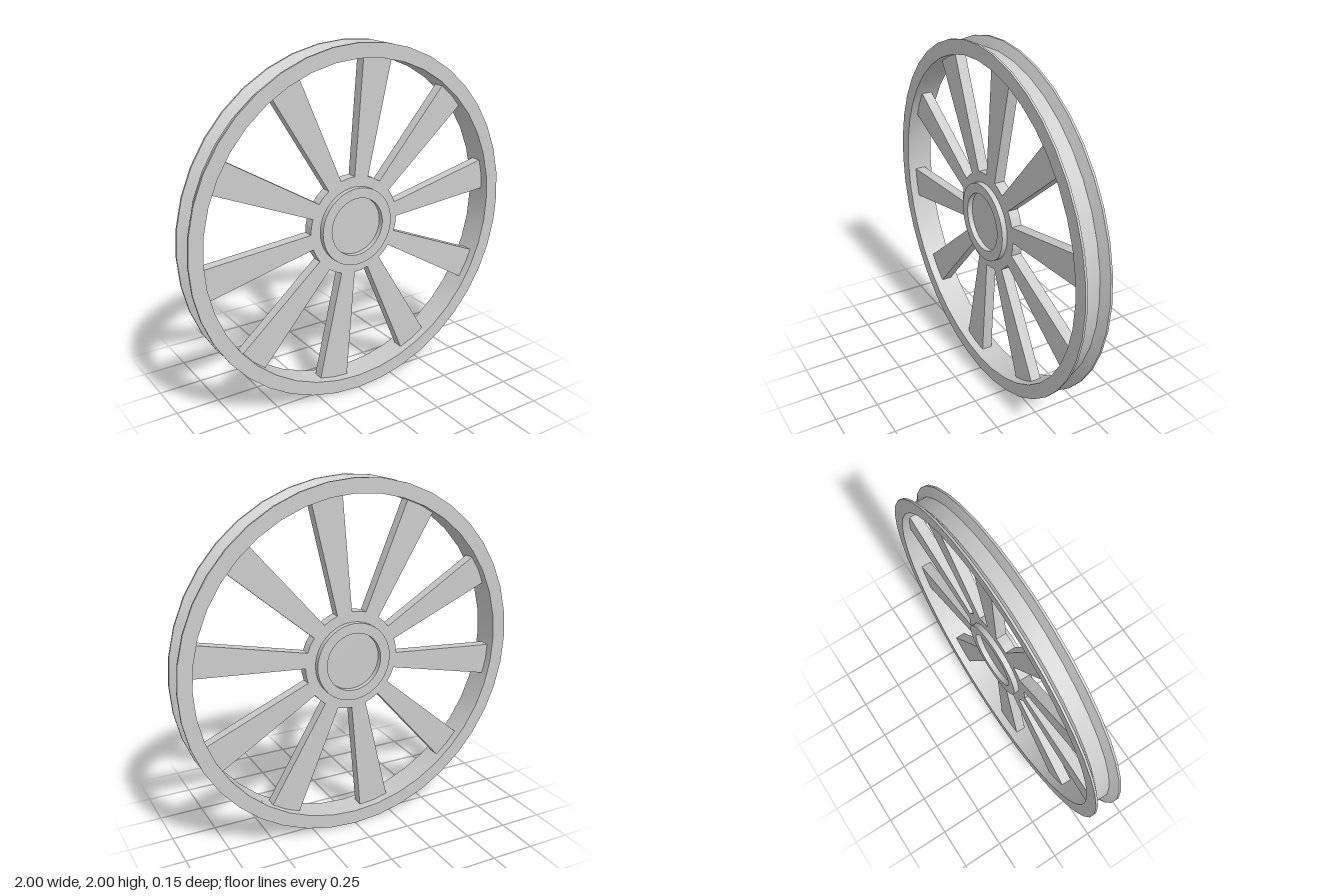
import * as THREE from 'three';
import { toCreasedNormals } from 'three/addons/utils/BufferGeometryUtils.js';

const SEGMENTS = 40;
const SPOKES = 10;
const PLATE = 0.03; // half thickness of hub plate and spokes

const material = new THREE.MeshStandardMaterial({ color: 0xcccccc });

// Revolves a [radius, z] profile about the wheel's axle
function turned(name, profile) {
  const points = profile.map(([r, z]) => new THREE.Vector2(r, z));
  const geometry = new THREE.LatheGeometry(points, SEGMENTS).rotateX(Math.PI / 2);
  const mesh = new THREE.Mesh(toCreasedNormals(geometry, 0.35), material);
  mesh.name = name;
  return mesh;
}

// Hub plate and flared spokes cut from one flat outline
function createSpokes() {
  const outline = [];
  const add = (r, degrees) => {
    const a = THREE.MathUtils.degToRad(degrees);
    outline.push(new THREE.Vector2(r * Math.cos(a), r * Math.sin(a)));
  };
  for (let i = 0; i < SPOKES; i++) {
    const mid = 9 + (i * 360) / SPOKES;
    add(0.28, mid - 9);
    add(0.925, mid - 5.6);
    add(0.925, mid + 5.6);
    add(0.28, mid + 9);
    add(0.28, mid + 18);
  }
  const geometry = new THREE.ExtrudeGeometry(new THREE.Shape(outline), {
    depth: PLATE * 2, bevelEnabled: false,
  });
  geometry.translate(0, 0, -PLATE);
  const mesh = new THREE.Mesh(geometry, material);
  mesh.name = 'hubAndSpokes';
  return mesh;
}

export function createModel() {
  const wheel = new THREE.Group();
  wheel.name = 'wheel';

  // Rim with a flared groove around the outside
  wheel.add(turned('rim', [
    [0.92, -0.077], [1, -0.077], [1, -0.065], [0.95, -0.04],
    [0.95, 0.04], [1, 0.065], [1, 0.077], [0.92, 0.077], [0.92, -0.077],
  ]));

  wheel.add(createSpokes());

  // Raised hub ring on each face
  const ring = [[0.222, PLATE], [0.222, 0.06], [0.165, 0.06], [0.165, PLATE]];
  const front = turned('frontHubRing', ring);
  const back = turned('backHubRing', ring);
  back.rotation.y = Math.PI;
  wheel.add(front, back);

  wheel.position.y = 1;
  const model = new THREE.Group();
  model.add(wheel);
  return model;
}
